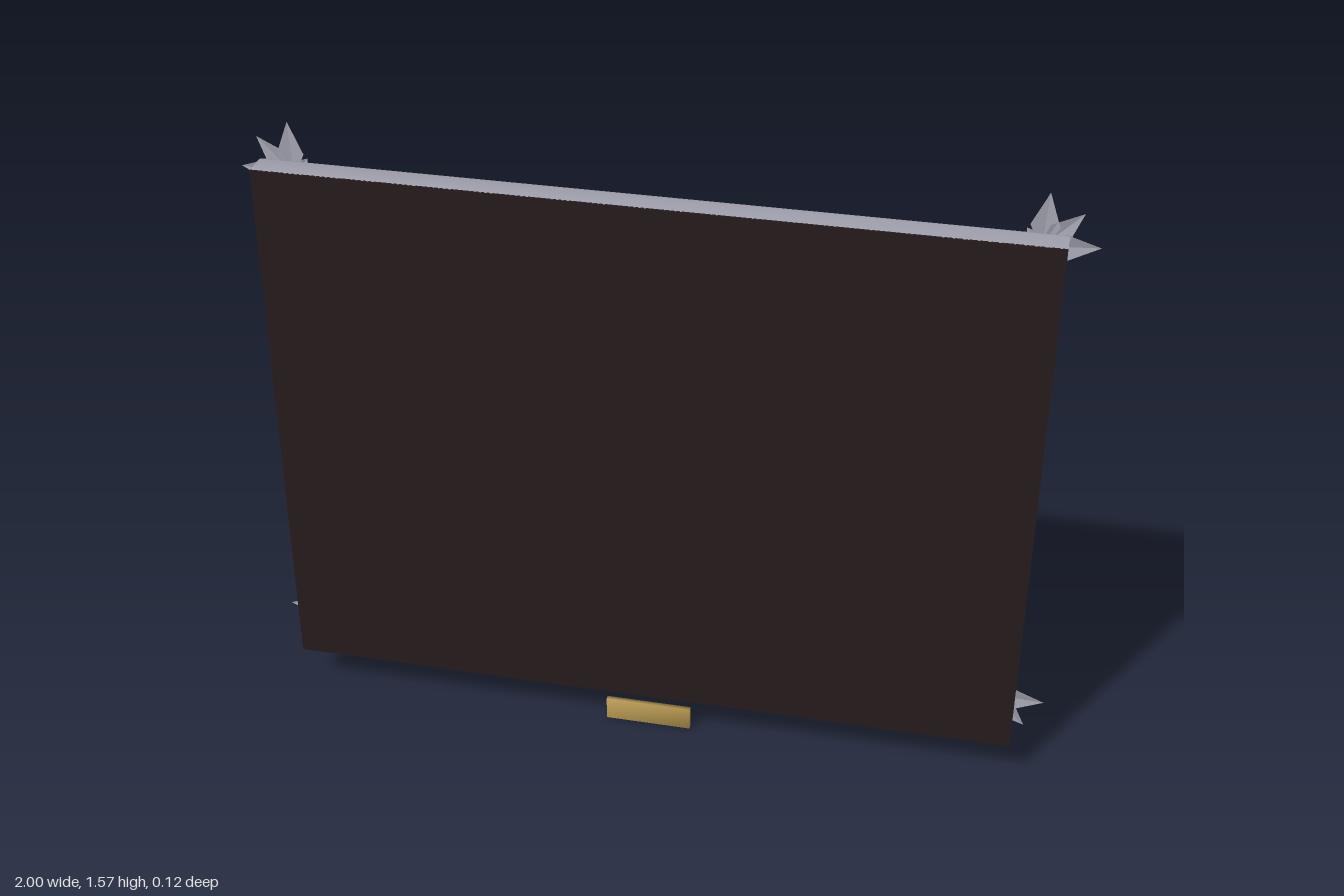
import * as THREE from 'three';
import { mergeVertices, toCreasedNormals } from 'three/addons/utils/BufferGeometryUtils.js';

const mat = (name, color, side = THREE.FrontSide) => {
  const m = new THREE.MeshStandardMaterial({ color, side });
  m.name = name;
  return m;
};

const HALF_W = 0.928, HALF_H = 0.696, MID_Y = 0.806;

// Moulding cross-section: [inset from outer edge, z]
const PROFILE = [
  [0, 0.06], [0, 0], [0.004, -0.012], [0.012, -0.028], [0.024, -0.043], [0.038, -0.053],
  [0.05, -0.057], [0.061, -0.054], [0.069, -0.046], [0.077, -0.032], [0.088, -0.016],
  [0.102, -0.003], [0.118, 0.004], [0.132, 0.006], [0.136, 0.012], [0.146, 0.018],
  [0.156, 0.021], [0.163, 0.027],
];

// Four mitred sides swept from the profile
function mouldingGeometry() {
  const corners = [[1, 1], [-1, 1], [-1, -1], [1, -1]];
  const point = (k, j) => {
    const [sx, sy] = corners[k % 4], [inset, z] = PROFILE[j];
    return [sx * (HALF_W - inset), sy * (HALF_H - inset), z];
  };
  const pos = [];
  for (let k = 0; k < 4; k++) {
    for (let j = 0; j < PROFILE.length - 1; j++) {
      const a = point(k, j), b = point(k + 1, j), c = point(k, j + 1), d = point(k + 1, j + 1);
      pos.push(...a, ...c, ...b, ...b, ...c, ...d);
    }
  }
  const g = new THREE.BufferGeometry();
  g.setAttribute('position', new THREE.Float32BufferAttribute(pos, 3));
  return toCreasedNormals(g, 0.7);
}

// Corner ornament: folded pointed leaves fanned round the outward diagonal
function leafGeometry() {
  // [angle, length, half width]
  const leaves = [[45, 0.122, 0.03], [3, 0.13, 0.033], [87, 0.13, 0.033], [-42, 0.055, 0.022], [132, 0.055, 0.022]];
  const pos = [];
  for (const [deg, len, half] of leaves) {
    const t = THREE.MathUtils.degToRad(deg);
    const at = (u, v, z) => [u * Math.cos(t) - v * Math.sin(t), u * Math.sin(t) + v * Math.cos(t), z];
    const base = at(-0.01, 0, -0.058), tip = at(len, 0, -0.062);
    const ridge = at(len * 0.4, 0, -0.06);
    for (const s of [-1, 1]) {
      const edge = at(len * 0.4, s * half, -0.054);
      const tris = s > 0 ? [base, edge, ridge, ridge, edge, tip] : [base, ridge, edge, ridge, tip, edge];
      pos.push(...tris.flat());
    }
  }
  const g = new THREE.BufferGeometry();
  g.setAttribute('position', new THREE.Float32BufferAttribute(pos, 3));
  g.computeVertexNormals();
  return g;
}

// Box shaded softly across its edges
function softBox(w, h, d) {
  const box = new THREE.BoxGeometry(w, h, d);
  box.deleteAttribute('normal');
  box.deleteAttribute('uv');
  const g = mergeVertices(box);
  g.computeVertexNormals();
  return g;
}

export function createModel() {
  const silver = mat('silver frame', 0xa5a5b2, THREE.DoubleSide);
  const dark = mat('dark panel', 0x271d1d);
  const gold = mat('gold plaque', 0xbb9c54);
  const ink = mat('black engraving', 0x17130f);

  const model = new THREE.Group();
  model.name = 'pictureFrame';
  const add = (name, geometry, material, x, y, z, parent = model) => {
    const m = new THREE.Mesh(geometry, material);
    m.name = name;
    m.position.set(x, y, z);
    parent.add(m);
    return m;
  };

  add('frameMoulding', mouldingGeometry(), silver, 0, MID_Y, 0);

  // Flat full-size board on one face, picture surface inside the moulding on the other
  add('backingBoard', new THREE.BoxGeometry(HALF_W * 2, HALF_H * 2, 0.004), dark, 0, MID_Y, 0.06);
  add('picture', new THREE.BoxGeometry((HALF_W - 0.16) * 2, (HALF_H - 0.16) * 2, 0.004), dark, 0, MID_Y, 0.029);

  // Leaf ornaments mirrored to all four corners
  const leaf = leafGeometry();
  for (const sx of [-1, 1]) {
    for (const sy of [-1, 1]) {
      const m = add('cornerLeaves', leaf, silver, sx * 0.87, MID_Y + sy * 0.637, 0);
      m.scale.set(sx, sy, 1);
    }
  }

  // Name plate with plain engraved bars and two screws
  const plaque = new THREE.Group();
  plaque.name = 'plaque';
  plaque.position.set(0, 0.031, 0.03);
  model.add(plaque);
  add('plaquePlate', softBox(0.22, 0.062, 0.012), gold, 0, 0, 0, plaque);
  add('upperBar', new THREE.BoxGeometry(0.14, 0.011, 0.003), ink, 0, 0.012, -0.0065, plaque);
  add('lowerBar', new THREE.BoxGeometry(0.15, 0.009, 0.003), ink, 0, -0.012, -0.0065, plaque);
  for (const s of [-1, 1]) {
    const screw = add('screw', new THREE.SphereGeometry(0.007, 12, 8), gold, s * 0.094, 0, -0.006, plaque);
    screw.scale.z = 0.5;
  }
  return model;
}
